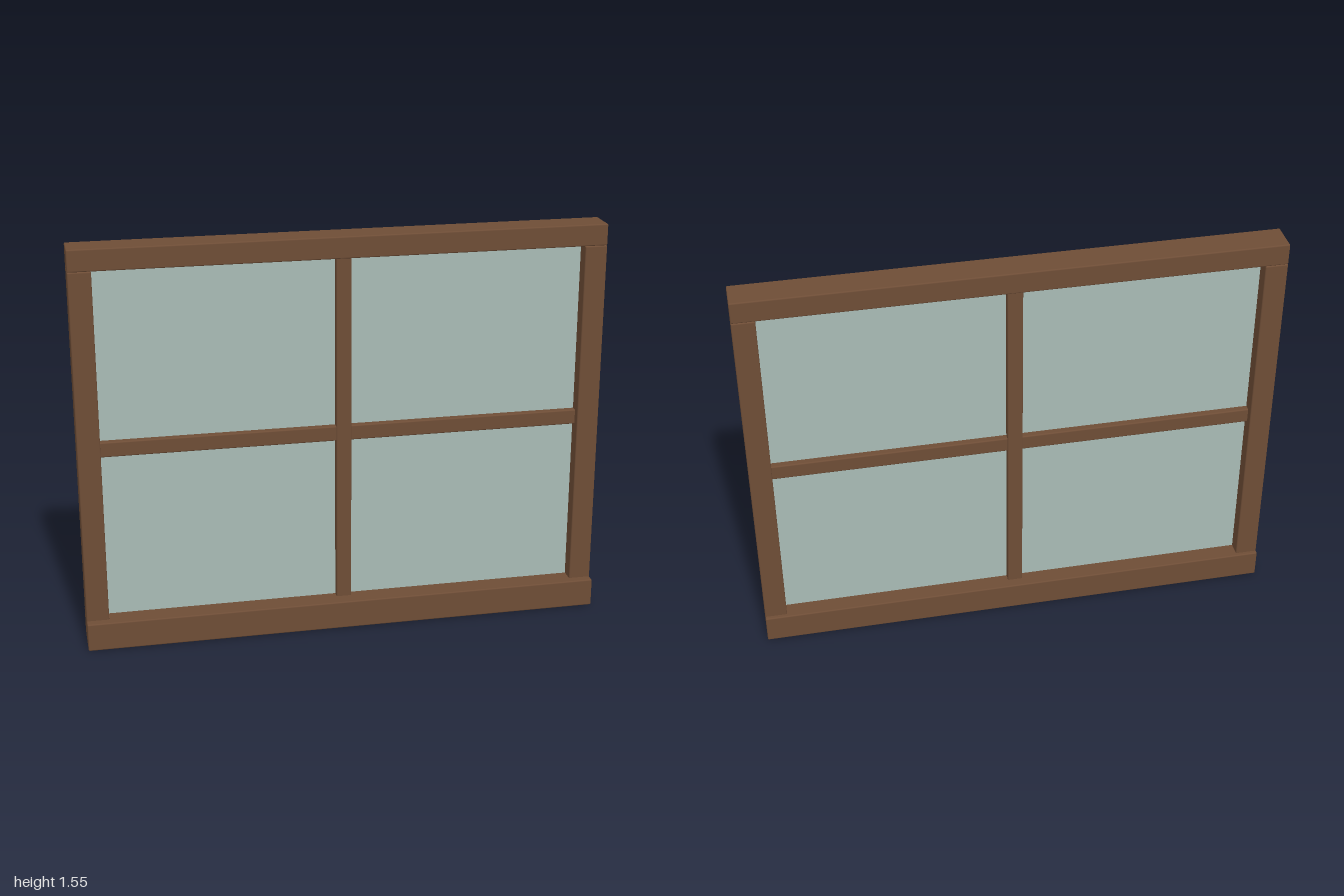
import * as THREE from 'three';
import { RoundedBoxGeometry } from 'three/addons/geometries/RoundedBoxGeometry.js';

export function createModel() {
  const wood = new THREE.MeshStandardMaterial({ color: 0x6e4d36 });
  wood.name = 'brown wood';
  const glass = new THREE.MeshStandardMaterial({ color: 0xa8bbb5 });
  glass.name = 'pale green glass';

  const model = new THREE.Group();
  model.name = 'window';

  // Softly bevelled timber spanning the given limits
  function timber(name, x0, x1, y0, y1, z0, z1) {
    const mesh = new THREE.Mesh(new RoundedBoxGeometry(x1 - x0, y1 - y0, z1 - z0, 2, 0.005), wood);
    mesh.position.set((x0 + x1) / 2, (y0 + y1) / 2, (z0 + z1) / 2);
    mesh.name = name;
    model.add(mesh);
  }

  // Outer frame
  timber('sill', -1, 1, 0, 0.11, -0.085, 0.085);
  timber('topRail', -1, 1, 1.468, 1.55, -0.07, 0.052);
  timber('leftStile', 0.915, 1, 0.105, 1.468, -0.07, 0.052);
  timber('rightStile', -1, -0.915, 0.105, 1.468, -0.07, 0.052);

  // Glazing bars
  timber('verticalBar', -0.029, 0.029, 0.105, 1.472, -0.046, 0.028);
  timber('horizontalBar', -0.918, 0.918, 0.756, 0.814, -0.041, 0.023);

  // Glass sheet set in the middle of the frame
  const pane = new THREE.Mesh(new THREE.BoxGeometry(1.84, 1.37, 0.015), glass);
  pane.position.set(0, 0.789, -0.009);
  pane.name = 'glassPane';
  model.add(pane);

  return model;
}
